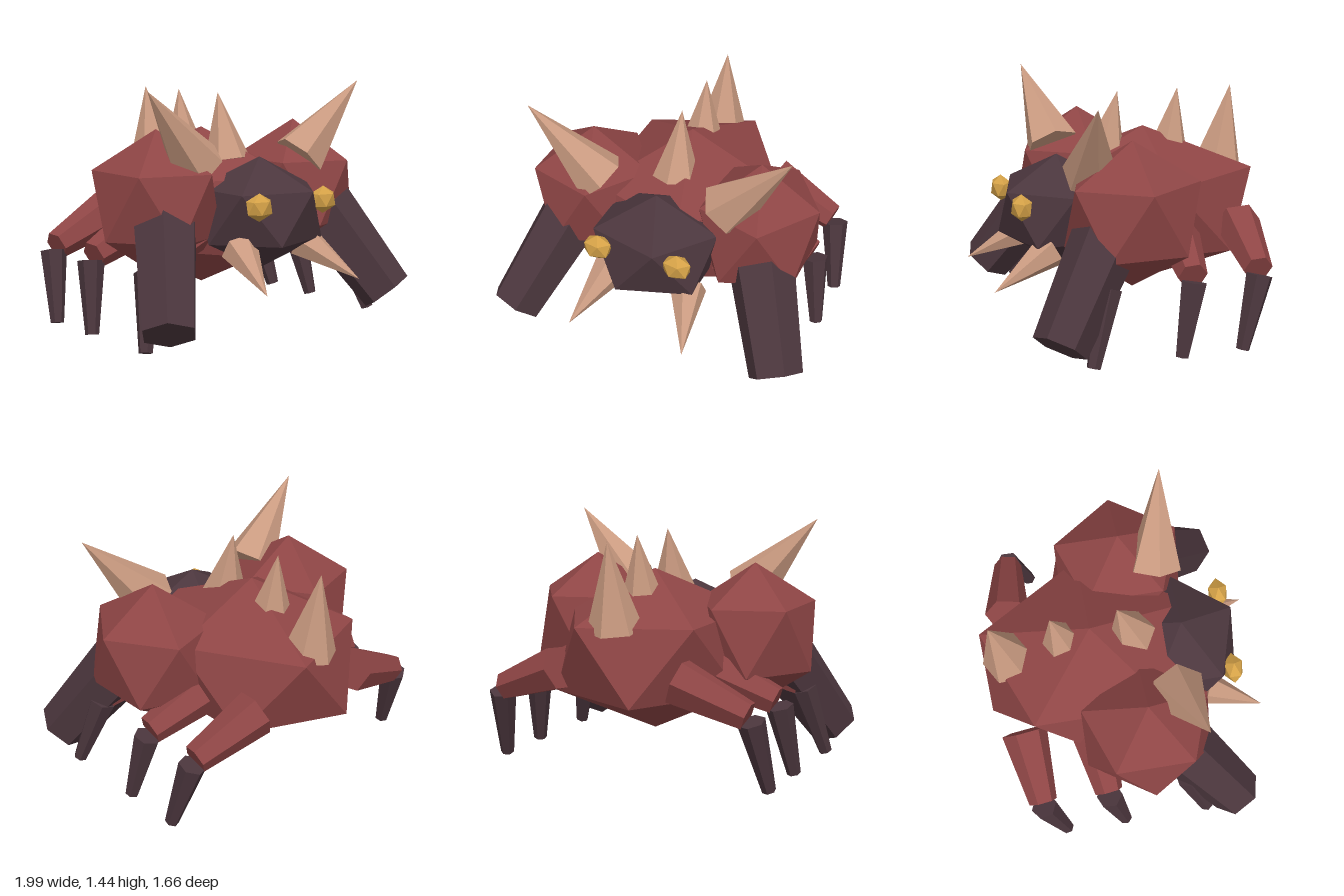
import * as THREE from 'three';

const mat = (name, color) => {
  const m = new THREE.MeshStandardMaterial({ color, flatShading: true });
  m.name = name;
  return m;
};

export function createModel() {
  const group = new THREE.Group();
  const red = mat('red hide', 0x8e4545);
  const dark = mat('dark plate', 0x4b363d);
  const bone = mat('bone', 0xc99a80);
  const gold = mat('gold eye', 0xd4a147);

  const add = (name, geo, material) => {
    const mesh = new THREE.Mesh(geo, material);
    mesh.name = name;
    group.add(mesh);
    return mesh;
  };

  // Icosahedron standing on a corner, stretched to the given radii
  const tilt = Math.atan2((1 + Math.sqrt(5)) / 2, 1);
  const lump = (name, material, [x, y, z], [rx, ry, rz]) => {
    const geo = new THREE.IcosahedronGeometry(1, 0);
    geo.rotateX(-tilt).rotateY(Math.PI / 2).scale(rx, ry, rz).translate(x, y, z);
    add(name, geo, material);
  };

  // Six-sided tapered limb or spike running from a to b, turned on its axis by spin
  const limb = (name, material, a, b, ra, rb, spin = 0) => {
    const start = new THREE.Vector3(...a);
    const end = new THREE.Vector3(...b);
    const dir = end.clone().sub(start);
    const geo = rb > 0
      ? new THREE.CylinderGeometry(rb, ra, dir.length(), 6)
      : new THREE.ConeGeometry(ra, dir.length(), 6);
    geo.rotateY(spin);
    const mesh = add(name, geo, material);
    mesh.position.copy(start).add(end).multiplyScalar(0.5);
    mesh.quaternion.setFromUnitVectors(new THREE.Vector3(0, 1, 0), dir.normalize());
  };
  const turn = Math.PI / 6;

  // Body and head
  lump('body', red, [0, 0.685, -0.19], [0.615, 0.48, 0.753]);
  lump('head', dark, [0, 0.70, 0.35], [0.425, 0.33, 0.39]);

  // Spikes along the spine: base height and z, tip z, radius
  for (const [y, z, tipZ, r] of [
    [0.98, 0.06, -0.03, 0.14],
    [0.99, -0.35, -0.41, 0.13],
    [0.88, -0.675, -0.755, 0.16],
  ]) limb('backSpike', bone, [0, y, z], [0, 1.382, tipZ], r, 0);

  for (const s of [1, -1]) {
    const side = s > 0 ? 'left' : 'right';

    // Shoulder, horn, eye and tusk
    lump(side + 'Shoulder', red, [s * 0.53, 0.775, 0.06], [0.40, 0.425, 0.435]);
    limb(side + 'ShoulderHorn', bone, [s * 0.395, 0.996, 0.262], [s * 0.8, 1.44, 0.348], 0.165, 0, turn);
    lump(side + 'Eye', gold, [s * 0.245, 0.787, 0.63], [0.093, 0.08, 0.065]);
    limb(side + 'Tusk', bone, [s * 0.245, 0.52, 0.465], [s * 0.355, 0.333, 0.825], 0.11, 0, turn);

    // Heavy front arm
    limb(side + 'Arm', dark, [s * 0.55, 0.80, 0.16], [s * 0.845, 0.15, 0.585], 0.205, 0.16, turn);

    // Three walking legs: hip z, knee x and z, foot z
    for (const [name, hipZ, kneeX, kneeZ, footZ] of [
      ['Front', 0.20, 0.74, 0.28, 0.40],
      ['Middle', -0.26, 0.785, -0.21, -0.12],
      ['Hind', -0.655, 0.785, -0.61, -0.49],
    ]) {
      limb(side + name + 'Thigh', red, [s * 0.38, 0.62, hipZ], [s * kneeX, 0.46, kneeZ], 0.138, 0.085);
      limb(side + name + 'Claw', dark, [s * (kneeX + 0.02), 0.43, kneeZ], [s * 0.865, 0.016, footZ], 0.08, 0.04);
    }
  }

  return group;
}
